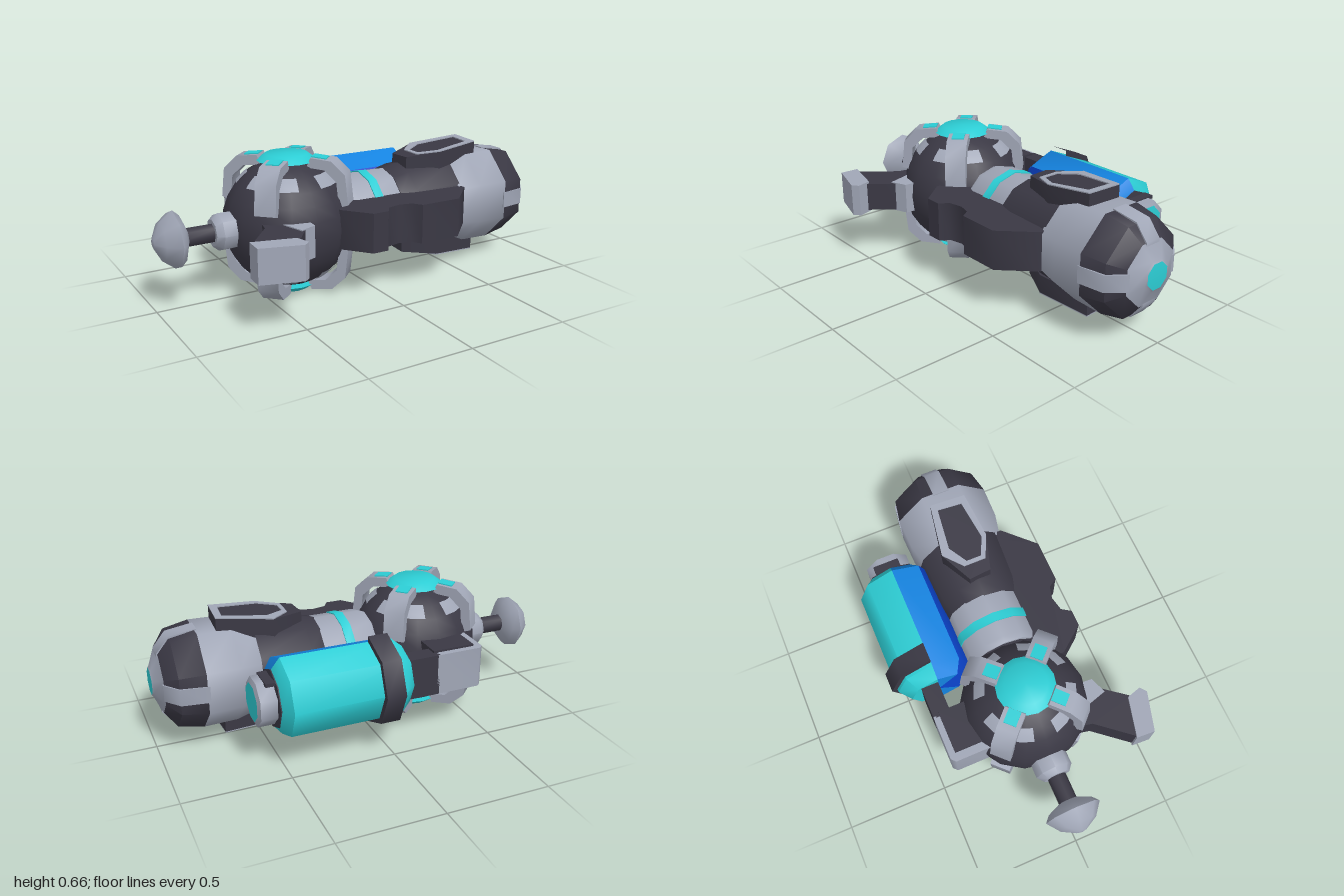
import * as THREE from 'three';
import { toCreasedNormals } from 'three/addons/utils/BufferGeometryUtils.js';

const mat = (name, color) => {
  const m = new THREE.MeshStandardMaterial({ color });
  m.name = name;
  return m;
};

export function createModel() {
  const dark = mat('charcoal', 0x3a3844), grey = mat('steel grey', 0xa0a6b6);
  const teal = mat('teal', 0x2ccdd4), blue = mat('blue', 0x1483e0), royal = mat('royal blue', 0x0c45d0);
  const root = new THREE.Group();
  const CY = 0.335;
  const V = (pts) => pts.map(([a, b]) => new THREE.Vector2(a, b));

  const add = (name, geo, material, parent = root) => {
    const mesh = new THREE.Mesh(toCreasedNormals(geo, 0.85), material);
    mesh.name = name;
    parent.add(mesh);
    return mesh;
  };
  const box = (name, material, x0, x1, y0, y1, z0, z1) => {
    const g = new THREE.BoxGeometry(x1 - x0, y1 - y0, z1 - z0);
    return add(name, g.translate((x0 + x1) / 2, (y0 + y1) / 2, (z0 + z1) / 2), material);
  };
  // Turned part along x, from [x, radius] pairs
  const turned = (name, material, pts, z, segs = 8, start = 0, sweep = Math.PI * 2) => {
    const g = new THREE.LatheGeometry(V(pts.map(([x, r]) => [r, x])), segs, start, sweep);
    return add(name, g.rotateZ(-Math.PI / 2).translate(0, CY, z), material);
  };
  // Upright prism from an [x, z] outline
  const prism = (pts, y0, y1, hole) => {
    const s = new THREE.Shape(V(pts));
    if (hole) s.holes.push(new THREE.Path(V(hole)));
    return new THREE.ExtrudeGeometry(s, { depth: y1 - y0, bevelEnabled: false })
      .rotateX(Math.PI / 2).translate(0, y1, 0);
  };
  // Strip following an outer curve in the xy plane
  const strip = (outer, inner, width) =>
    new THREE.ExtrudeGeometry(new THREE.Shape(V([...outer, ...inner.slice().reverse()])),
      { depth: width, bevelEnabled: false }).translate(0, 0, -width / 2);

  // Round rear body
  const body = new THREE.Group();
  body.name = 'rearBody';
  body.position.set(-0.335, CY, 0);
  root.add(body);
  add('rearSphere', new THREE.SphereGeometry(0.31, 16, 14), dark, body);

  // Matching cap, band and claws on top and bottom
  for (const side of [0, 1]) {
    const cap = new THREE.Group();
    cap.name = side ? 'bottomCap' : 'topCap';
    cap.rotation.x = side * Math.PI;
    body.add(cap);
    add('capDisc', new THREE.CylinderGeometry(0.1, 0.14, 0.03, 16).translate(0, 0.314, 0), teal, cap);
    for (let i = 0; i < 4; i++) {
      const a = Math.PI / 4 + i * Math.PI / 2;
      const band = new THREE.SphereGeometry(0.314, 4, 3, -0.55, 1.1, 0.64, 0.23);
      add('bandPatch', band.rotateY(a + Math.PI), grey, cap);
      const outer = [[0.13, 0.322], [0.23, 0.312], [0.295, 0.25], [0.31, 0.11]];
      const inner = outer.map(([r, y]) => [r * 0.86, y * 0.86]);
      add('claw', strip(outer, inner, 0.1).rotateY(a), grey, cap);
      const tip = [[0.13, 0.327], [0.2, 0.32]];
      add('clawLight', strip(tip, tip.map(([r, y]) => [r, y - 0.008]), 0.06).rotateY(a), teal, cap);
    }
  }

  // Rear plunger
  turned('plungerBase', grey, [[-0.72, 0], [-0.72, 0.065], [-0.69, 0.09], [-0.61, 0.09]], 0);
  turned('plungerShaft', dark, [[-0.87, 0.045], [-0.68, 0.045]], 0);
  turned('plungerKnob', grey,
    [[-1, 0], [-0.995, 0.025], [-0.96, 0.09], [-0.9, 0.137], [-0.87, 0.11], [-0.845, 0.05], [-0.845, 0]], 0);

  // Angled rear grip
  add('gripCollar', prism([[-0.5, 0.2], [-0.36, 0.2], [-0.37, 0.34], [-0.45, 0.37]], 0.26, 0.41), grey);
  add('gripNeck', prism([[-0.55, 0.15], [-0.35, 0.2], [-0.42, 0.35], [-0.52, 0.48], [-0.71, 0.42], [-0.57, 0.25]],
    0.265, 0.405), dark);
  add('gripEnd', prism([[-0.715, 0.41], [-0.72, 0.5], [-0.53, 0.555], [-0.5, 0.53], [-0.52, 0.46]], 0.255, 0.415), grey);

  // Middle section with glowing ring
  turned('bodyCore', dark, [[-0.2, 0.17], [-0.05, 0.17]], 0.01, 12);
  turned('middleCollar', grey, [[-0.07, 0], [-0.07, 0.18], [-0.04, 0.19], [0.2, 0.19], [0.2, 0]], 0.015, 12);
  turned('glowRing', teal, [[0.045, 0.18], [0.045, 0.195], [0.09, 0.195], [0.09, 0.18]], 0.015, 12);
  turned('neck', dark, [[0.19, 0], [0.19, 0.19], [0.27, 0.21], [0.52, 0.225]], 0.02, 12);

  // Side handle
  add('sideHandle', prism([[-0.2, 0.15], [-0.2, 0.27], [-0.1, 0.395], [-0.02, 0.395], [0.01, 0.35], [0.08, 0.335],
    [0.14, 0.35], [0.17, 0.395], [0.38, 0.395], [0.525, 0.25], [0.525, 0.15]], 0.245, 0.435), dark);

  // Eight-sided muzzle
  const oct = Math.PI / 8, muzzle = new THREE.Group();
  turned('muzzleRing', grey, [[0.5, 0.2], [0.51, 0.225], [0.62, 0.25], [0.78, 0.254]], 0.03, 8, oct);
  turned('muzzleShell', dark, [[0.78, 0.254], [0.9, 0.23], [0.955, 0.155]], 0.03, 8, oct);
  turned('muzzleNose', grey, [[0.955, 0.155], [0.988, 0.075], [0.995, 0.065]], 0.03, 8, oct);
  turned('muzzleLens', teal, [[0.995, 0.065], [1, 0]], 0.03, 8, oct);
  muzzle.name = 'muzzleStraps';
  muzzle.position.set(0, CY, 0.03);
  root.add(muzzle);
  for (let i = 0; i < 4; i++) {
    const outer = [[0.77, 0.24], [0.9, 0.221], [0.96, 0.148]];
    const strap = strip(outer, outer.map(([x, r]) => [x, r - 0.03]), 0.08);
    add('muzzleStrap', strap.rotateX(i * Math.PI / 2), grey, muzzle);
  }

  // Sloping fairings above and below the muzzle
  const rim = [[0.27, -0.05], [0.43, -0.13], [0.69, -0.085], [0.68, 0.09], [0.45, 0.11], [0.28, 0.06]];
  const inset = [[0.28, -0.03], [0.45, -0.085], [0.655, -0.06], [0.645, 0.06], [0.45, 0.085], [0.29, 0.045]];
  for (const side of [0, 1]) {
    const fairing = new THREE.Group();
    fairing.name = side ? 'lowerFairing' : 'upperFairing';
    fairing.position.set(0, CY, 0.03);
    fairing.rotation.x = side * Math.PI;
    root.add(fairing);
    const slope = (g) => {
      const p = g.attributes.position;
      for (let i = 0; i < p.count; i++) p.setY(i, p.getY(i) + (p.getX(i) - 0.28) * 0.1);
      g.computeVertexNormals();
      return g;
    };
    add('fairingBlock', slope(prism(rim, 0.16, 0.25)), dark, fairing);
    add('fairingRim', slope(prism(rim.map(([x, z]) => [Math.max(x, 0.34), z]), 0.25, 0.255,
      inset.map(([x, z]) => [Math.max(x, 0.36), z]))), grey, fairing);
  }

  // Tank: teal outside, blues facing the body
  const tank = [[-0.1, 0], [-0.1, 0.14], [-0.04, 0.19], [0.49, 0.19], [0.53, 0.14], [0.53, 0]];
  const q = Math.PI / 4, TZ = -0.345;
  turned('tankOuter', teal, tank, TZ, 4, 2 * q, 4 * q);
  turned('tankUpperBlue', blue, tank, TZ, 1, 6 * q, q);
  turned('tankLowerBlue', blue, tank, TZ, 1, q, q);
  turned('tankInner', royal, tank, TZ, 2, -q, 2 * q);
  turned('tankEndRing', dark, [[0.5, 0.14], [0.535, 0.14], [0.54, 0.1]], TZ);
  turned('tankValve', grey, [[0.53, 0.115], [0.615, 0.115], [0.625, 0.09]], TZ, 8, oct);
  turned('tankValveCap', teal, [[0.625, 0.09], [0.63, 0]], TZ, 8, oct);
  box('valveLatch', dark, 0.535, 0.58, 0.43, 0.447, -0.42, -0.29);

  // Bracket around the outer half of the tank
  turned('tankBracket', dark,
    [[-0.025, 0.18], [-0.025, 0.217], [0.07, 0.217], [0.07, 0.18], [-0.025, 0.18]], TZ, 4, 2 * q, 4 * q);
  box('bracketArm', dark, -0.26, 0.0, 0.235, 0.435, -0.43, -0.345);
  add('bracketMount', prism([[-0.49, -0.2], [-0.49, -0.41], [-0.47, -0.43], [-0.25, -0.43], [-0.25, -0.2]],
    0.235, 0.435), grey);
  box('mountCore', dark, -0.45, -0.24, 0.225, 0.445, -0.4, -0.2);

  return root;
}
